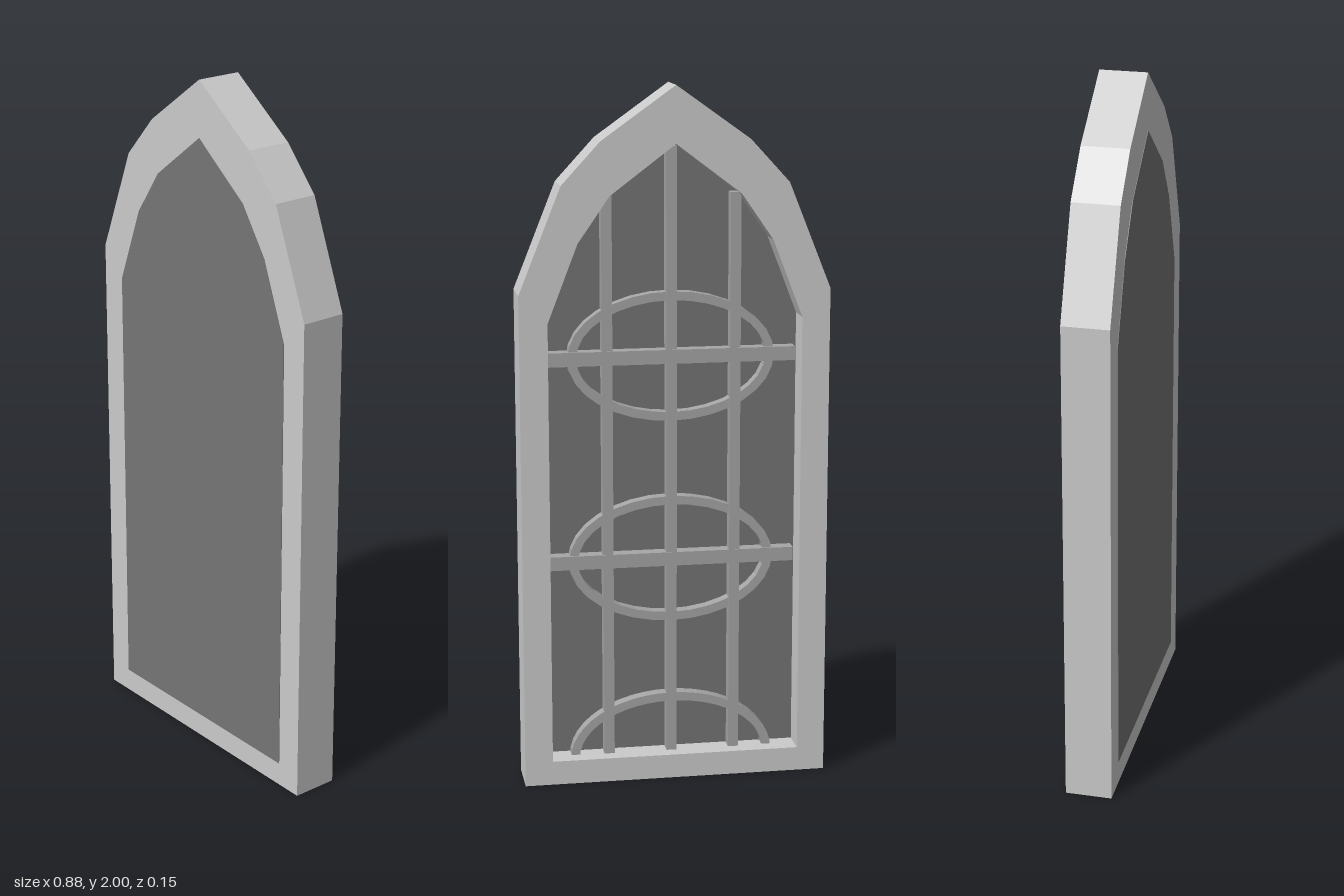
import * as THREE from 'three';

const mat = (color) => new THREE.MeshStandardMaterial({ color, flatShading: true });

// Symmetric pointed-arch outline from its right half, bottom to apex
function archPoints(half) {
  const right = half.map(([x, y]) => new THREE.Vector2(x, y));
  const left = half.slice(0, -1).reverse().map(([x, y]) => new THREE.Vector2(-x, y));
  return [...right, ...left];
}

// Extruded shape occupying z0..z1
function slab(name, shape, z0, z1, material, curveSegments = 12) {
  const geo = new THREE.ExtrudeGeometry(shape, { depth: z1 - z0, bevelEnabled: false, curveSegments });
  geo.translate(0, 0, z0);
  const mesh = new THREE.Mesh(geo, material);
  mesh.name = name;
  return mesh;
}

function bar(name, w, h, d, x, y, z, material) {
  const mesh = new THREE.Mesh(new THREE.BoxGeometry(w, h, d), material);
  mesh.position.set(x, y, z);
  mesh.name = name;
  return mesh;
}

export function createModel() {
  const group = new THREE.Group();
  group.name = 'archedWindow';
  const frameMat = mat(0xcccccc);
  const paneMat = mat(0x757575);
  const barMat = mat(0xa6a6a6);

  const outer = archPoints([[0.44, 0], [0.44, 1.43], [0.32, 1.73], [0.21, 1.85], [0, 2]]);
  const inner = archPoints([[0.36, 0.07], [0.36, 1.35], [0.275, 1.57], [0.185, 1.7], [0, 1.84]]);

  // Stone frame with an arched opening
  const frameShape = new THREE.Shape(outer);
  frameShape.holes.push(new THREE.Path(inner));
  group.add(slab('frame', frameShape, -0.067, 0.067, frameMat));

  // Solid pane filling the front of the opening
  group.add(slab('pane', new THREE.Shape(inner), 0.015, 0.0685, paneMat));

  // Lattice on the back of the pane
  const lattice = new THREE.Group();
  lattice.name = 'lattice';
  lattice.position.set(0.006, 0, -0.008);
  group.add(lattice);

  for (const [x, top] of [[-0.183, 1.7], [0, 1.83], [0.183, 1.7]]) {
    const h = top - 0.06;
    lattice.add(bar('verticalBar', 0.03, h, 0.036, x, 0.06 + h / 2, 0, barMat));
  }

  for (const y of [1.24, 0.65]) {
    lattice.add(bar('crossBar', 0.71, 0.04, 0.04, 0, y, 0, barMat));
  }

  // Oval rings; the lowest is a half ring rising from the sill
  for (const [y, sweep] of [[1.24, Math.PI * 2], [0.65, Math.PI * 2], [0.06, Math.PI]]) {
    const full = sweep > 4;
    const ring = new THREE.Shape();
    ring.absellipse(0, 0, 0.295, 0.185, 0, sweep, false);
    if (full) {
      const hole = new THREE.Path();
      hole.absellipse(0, 0, 0.27, 0.16, 0, sweep, true);
      ring.holes.push(hole);
    } else {
      ring.absellipse(0, 0, 0.27, 0.16, sweep, 0, true);
    }
    const mesh = slab(full ? 'ovalRing' : 'halfRing', ring, -0.014, 0.022, barMat, full ? 16 : 12);
    mesh.position.y = y;
    lattice.add(mesh);
  }

  // Slight turn about the vertical
  group.rotation.y = -0.0125;
  return group;
}
